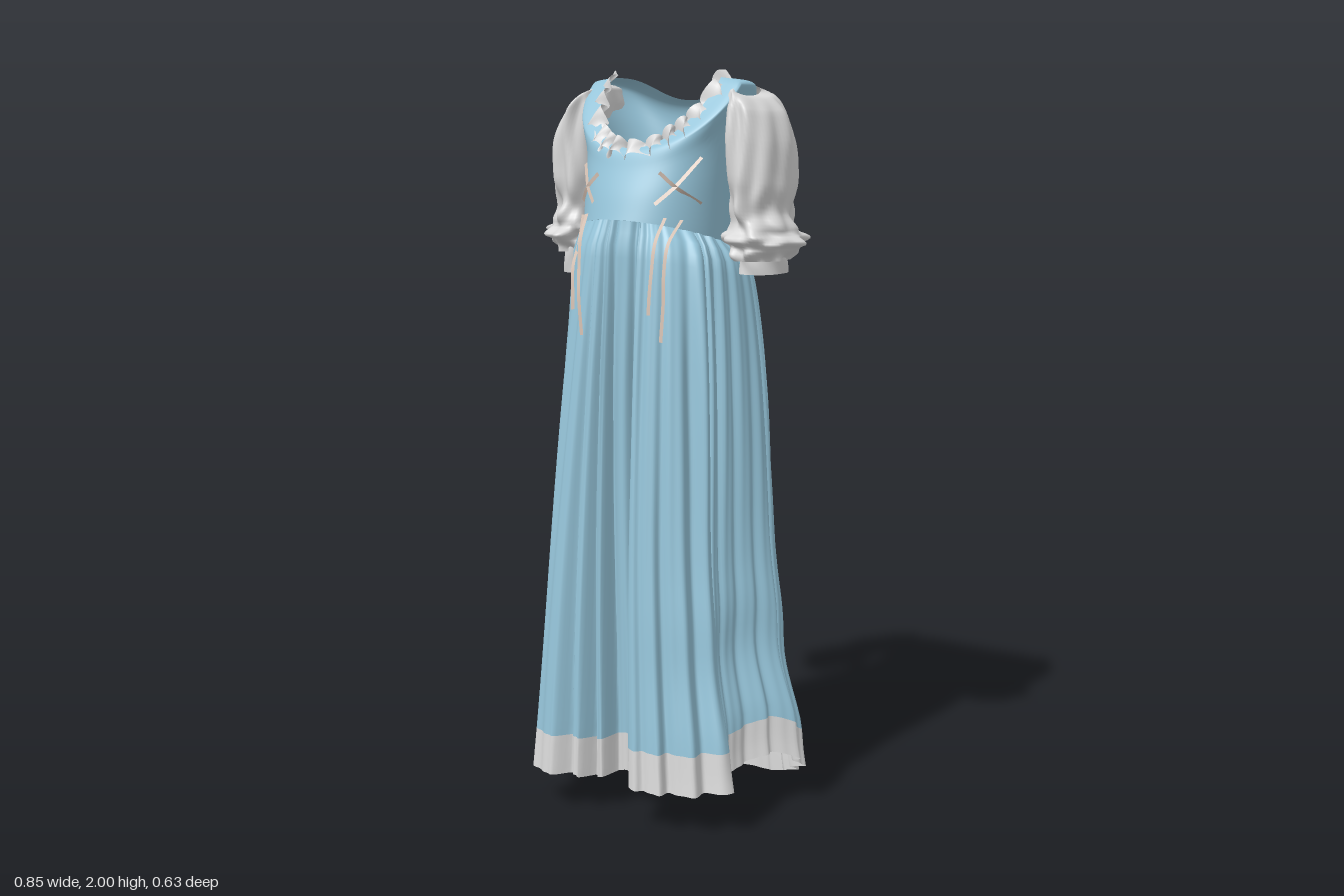
import * as THREE from 'three';

const V = (x, y, z) => new THREE.Vector3(x, y, z);
const { lerp, smoothstep } = THREE.MathUtils;
const TAU = Math.PI * 2;
const mat = (name, color) => {
  const m = new THREE.MeshStandardMaterial({ color, side: THREE.DoubleSide });
  m.name = name;
  return m;
};

// Grid surface from a function (u, v) -> Vector3; closed wraps u
function loft(fn, nu, nv, closed = true) {
  const pos = [], idx = [], cols = closed ? nu : nu + 1;
  for (let j = 0; j <= nv; j++)
    for (let i = 0; i < cols; i++) pos.push(...fn(i / nu, j / nv).toArray());
  for (let j = 0; j < nv; j++)
    for (let i = 0; i < nu; i++) {
      const a = j * cols + i, b = j * cols + ((i + 1) % cols);
      idx.push(a, a + cols, b, b, a + cols, b + cols);
    }
  const g = new THREE.BufferGeometry();
  g.setAttribute('position', new THREE.Float32BufferAttribute(pos, 3));
  g.setIndex(idx);
  g.computeVertexNormals();
  return g;
}

// Waist seam, lower at the back; a is the angle with sin(a) = 1 at the front
const CZ = -0.035;
const waistY = (s) => 1.555 + 0.055 * s;
const neckY = (s) => (s > 0 ? 1.98 - 0.185 * s : 1.98 - 0.06 * s ** 4);

// Bodice rings from waist to neckline: [height share, half width, back z, front z, back squareness]
const RINGS = [
  [0, 0.195, -0.235, 0.168, 1], [0.35, 0.203, -0.24, 0.148, 0.85], [0.7, 0.215, -0.245, 0.122, 0.7],
  [0.9, 0.24, -0.24, 0.108, 0.62], [0.965, 0.245, -0.226, 0.1, 0.66], [1, 0.18, -0.19, 0.09, 0.85],
];
function bodicePoint(a, t) {
  const c = Math.cos(a), s = Math.sin(a);
  const pts = RINGS.map(([h, rx, zb, zf, back]) => {
    const e = s > 0 ? 0.95 : back;
    const sx = Math.sign(c) * Math.abs(c) ** e, sz = Math.sign(s) * Math.abs(s) ** e;
    const mid = CZ - 0.035 * h;
    return V(rx * sx, lerp(waistY(s), neckY(s), h), mid + sz * (s > 0 ? zf - mid : mid - zb));
  });
  return new THREE.CatmullRomCurve3(pts).getPoint(t);
}

// Hem outline, starting at the front and going round by the model's left
const hem = new THREE.CatmullRomCurve3([
  [0.03, 0.1, 0.16], [0.1, 0.11, 0.2], [0.14, 0.11, 0.29], [0.2, 0.11, 0.295], [0.3, 0.11, 0.25],
  [0.39, 0.115, 0.18], [0.33, 0.115, 0.1], [0.315, 0.13, 0.02], [0.375, 0.155, -0.07], [0.405, 0.12, -0.14],
  [0.33, 0.05, -0.23], [0.2, 0.01, -0.285], [0.08, 0, -0.31], [0.03, 0, -0.275], [-0.03, 0, -0.3],
  [-0.11, 0.005, -0.255], [-0.22, 0.01, -0.225], [-0.32, 0.02, -0.165], [-0.39, 0.035, -0.08],
  [-0.405, 0.045, -0.01], [-0.33, 0.06, 0.05], [-0.24, 0.08, 0.12], [-0.205, 0.1, 0.2],
  [-0.19, 0.1, 0.29], [-0.13, 0.1, 0.305], [-0.05, 0.1, 0.27], [-0.01, 0.09, 0.23],
].map((p) => V(...p)), true);
hem.arcLengthDivisions = 800;

// Pleated skirt: v = 0 at the waist, v = 1 at the hem
function skirtPoint(u, v) {
  const h = hem.getPointAt(u % 1);
  const a = Math.atan2(h.z - CZ, h.x), c = Math.cos(a), s = Math.sin(a);
  // The back and the left side fill out quickly, the left side flares again low down
  const flare = lerp(0.6 * v ** 0.4, 1, Math.max(0, 2 * v - 1) ** 2);
  const fx = lerp(v, flare, smoothstep(c, 0, 0.6));
  const fz = v ** lerp(0.25, 0.75, (s + 1) / 2);
  const p = V(lerp(0.198 * c, h.x, fx), lerp(waistY(s), h.y, v), lerp(CZ + 0.203 * s, h.z, fz));
  const ph = TAU * 29 * u + 1.6 * Math.sin(TAU * 3 * u) + 1.1 * Math.sin(TAU * 7 * u + 2) + 0.9 * Math.sin(4 * v + TAU * 2 * u);
  const wave = Math.sin(ph) + 0.4 * Math.sin(2 * ph + 0.8 + 2 * v);
  const amp = (0.006 + 0.008 * smoothstep(v, 0, 0.3)) * (0.8 + 0.5 * Math.sin(TAU * 5 * u + 1 + 2 * v));
  // Puffed gathers just below the seam and a slack fold low on the left side
  const puff = 0.016 * smoothstep(v, 0, 0.05);
  const slack = 0.01 * Math.sin(22 * v) * smoothstep(v, 0.6, 0.8) * (1 - smoothstep(v, 0.9, 1)) * Math.max(0, c) ** 3;
  const d = wave * amp + puff * (1 - v) + slack;
  return p.add(V(c * d, 0, s * d));
}
const BAND = 0.928;

// Point on the front of the skirt nearest to x, lifted off the cloth
function skirtFront(x, v) {
  let best = null;
  for (let i = 0; i < 400; i++) {
    const p = skirtPoint(i / 400, v);
    if (p.z > 0 && (!best || Math.abs(p.x - x) < Math.abs(best.x - x))) best = p;
  }
  return best.add(V(0, 0, 0.014));
}
function bodiceFront(x, t) {
  let best = null;
  for (let i = 0; i <= 200; i++) {
    const p = bodicePoint(Math.PI * i / 200, t);
    if (!best || Math.abs(p.x - x) < Math.abs(best.x - x)) best = p;
  }
  return best.add(V(0, 0, 0.008));
}

// Sleeve rings: [y, centre x, half width, half depth]
const SLEEVE = [
  [1.962, 0.235, 0.004, 0.06], [1.952, 0.248, 0.03, 0.095], [1.91, 0.262, 0.06, 0.112], [1.82, 0.275, 0.075, 0.12],
  [1.72, 0.28, 0.076, 0.118], [1.64, 0.28, 0.066, 0.106], [1.58, 0.29, 0.08, 0.11], [1.54, 0.292, 0.08, 0.11], [1.5, 0.288, 0.058, 0.088],
];
const sleeveCurves = [
  new THREE.CatmullRomCurve3(SLEEVE.map(([y, x]) => V(x, y, -0.118))),
  new THREE.CatmullRomCurve3(SLEEVE.map(([, , rx, rz]) => V(rx, rz, 0))),
];
function sleevePoint(side, u, v) {
  const a = u * TAU, c = Math.cos(a), p = sleeveCurves[0].getPoint(v), r = sleeveCurves[1].getPoint(v);
  const bunch = smoothstep(v, 0.45, 0.75);
  // Long diagonal creases above, bunched cross folds below
  const crease = 0.05 * Math.sin(5 * a + 9 * v + side) + 0.05 * Math.sin(9 * a - 14 * v + 2 * side)
    + bunch * (0.08 * Math.sin(36 * v + 2.2 * Math.sin(2 * a + side)) + 0.06 * Math.sin(7 * a + 25 * v));
  const k = 1 + crease * smoothstep(v, 0.05, 0.25);
  const wide = side < 0 ? 0.022 * smoothstep(v, 0.1, 0.4) : 0;
  return V(side * Math.max(0.203, p.x + wide + r.x * k * c), p.y - 0.015 * (1 + c) * (1 - v), p.z + r.y * k * Math.sin(a));
}
function cuffPoint(side, u, v) {
  const a = u * TAU, r = 1 + 0.04 * Math.sin(4 * a + 5 * v);
  const cx = side < 0 ? 0.307 : 0.288;
  return V(side * (cx + 0.055 * r * Math.cos(a)), lerp(1.53, side < 0 ? 1.44 : 1.465, v), -0.12 + 0.082 * r * Math.sin(a));
}

// Curling frill along the front of the neckline
function rufflePoint(u, v) {
  const a = lerp(-0.1, Math.PI + 0.1, u), n = bodicePoint(a, 1);
  const w = TAU * 13 * u + 1.2 * Math.sin(TAU * 3 * u + 1);
  const k = 0.75 + 0.25 * Math.sin(TAU * 4 * u);
  const out = lerp(-0.012, 0.028, v) + 0.012 * k * Math.sin(w);
  const along = 0.022 * Math.cos(w) * (v - 0.4);
  const up = lerp(0.016, -0.02, v) + 0.014 * k * Math.sin(w + 2.2 * v);
  return V(n.x + Math.cos(a) * out - Math.sin(a) * along, Math.min(n.y + up, 2), n.z + Math.sin(a) * out + Math.cos(a) * along);
}

// Narrow flat ribbon facing forwards along a path
function ribbon(pts) {
  const curve = new THREE.CatmullRomCurve3(pts);
  return loft((u, v) => {
    const t = curve.getTangent(u);
    const across = V(-t.y, t.x, 0).normalize().multiplyScalar((v - 0.5) * 0.011);
    return curve.getPoint(u).add(across);
  }, 20, 1, false);
}

export function createModel() {
  const group = new THREE.Group();
  const blue = mat('blue cloth', 0x96c5da);
  const white = mat('white cloth', 0xdadada);
  const cord = mat('beige cord', 0xd2beb0);
  const add = (name, geo, m, parent = group) => {
    const mesh = new THREE.Mesh(geo, m);
    mesh.name = name;
    parent.add(mesh);
  };

  add('bodice', loft((u, v) => bodicePoint(-u * TAU, 1 - v), 80, 24), blue);
  add('skirt', loft((u, v) => skirtPoint(u, v * BAND), 396, 44), blue);
  add('hemBand', loft((u, v) => skirtPoint(u, lerp(BAND, 1, v)), 396, 4), white);
  add('neckRuffle', loft(rufflePoint, 182, 5, false), white);

  for (const side of [1, -1]) {
    const word = side > 0 ? 'left' : 'right';
    add(word + 'Sleeve', loft((u, v) => sleevePoint(side, u, v), 64, 48), white);
    add(word + 'Cuff', loft((u, v) => cuffPoint(side, u, v), 32, 4), white);

    // Crossed lacing on the bodice with cords hanging over the skirt
    const lacing = new THREE.Group();
    lacing.name = word + 'Lacing';
    group.add(lacing);
    const cx = side > 0 ? 0.15 : -0.12;
    for (const d of [1, -1]) {
      add('crossedCord', ribbon([[-0.04, 0.34], [0, 0.23], [0.04, 0.13]].map(([x, t]) => bodiceFront(cx + d * x, t))), cord, lacing);
      const drift = side > 0 ? 0.05 : 0.22;
      add('hangingCord', ribbon([bodiceFront(cx + d * 0.015, 0.05),
        ...[0.03, 0.08, 0.13, d > 0 ? 0.2 : 0.155].map((v) => skirtFront(cx + d * 0.014 + v * drift, v))]), cord, lacing);
    }
  }
  return group;
}
